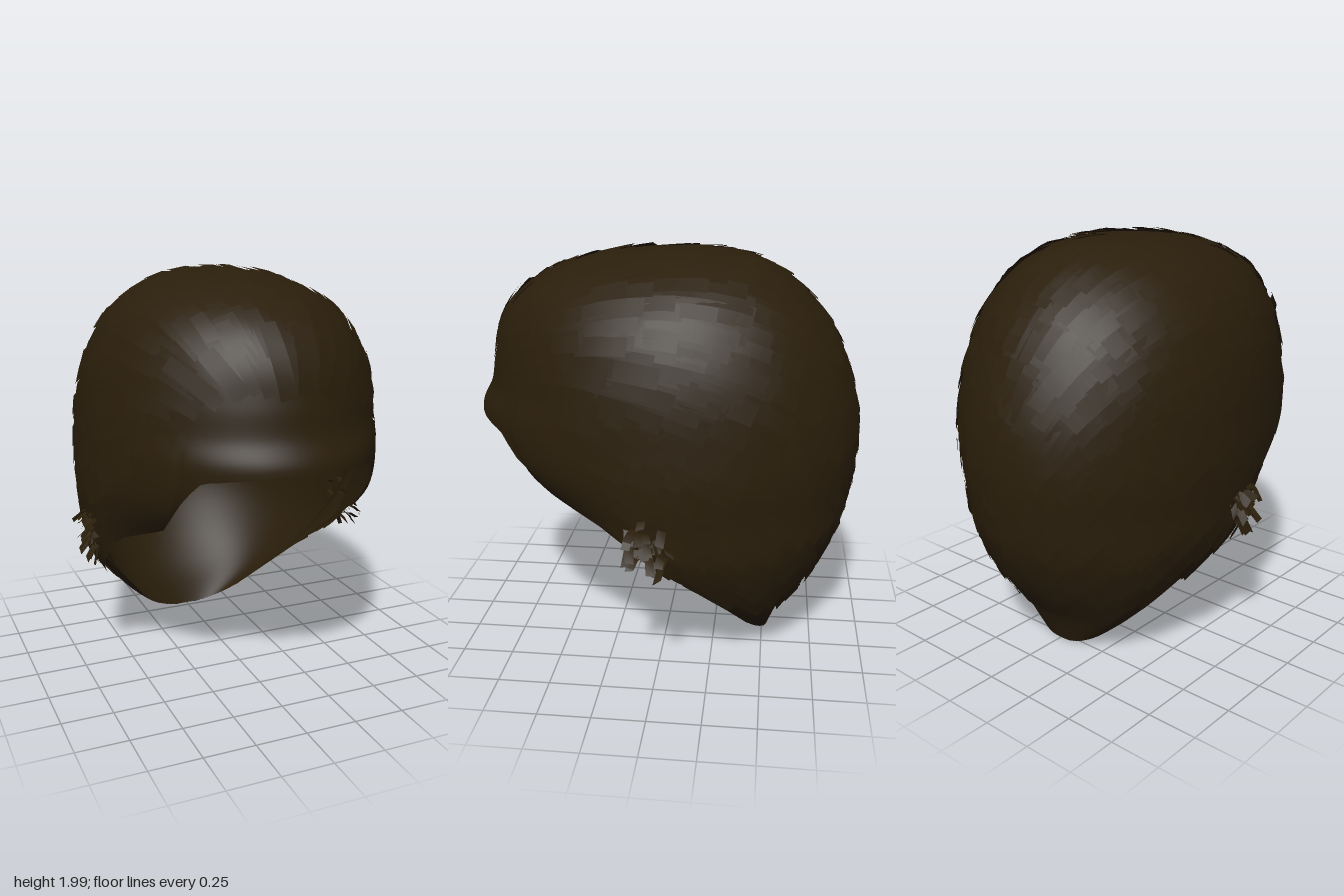
import * as THREE from 'three';
import { mergeGeometries } from 'three/addons/utils/BufferGeometryUtils.js';

// Level sections from crown to nape: [height, half width, widest z, front z, back z]
const SECTIONS = [
  [1.975, 0, -0.06, -0.06, -0.06], [1.95, 0.2, -0.04, 0.27, -0.33], [1.885, 0.38, -0.02, 0.52, -0.5],
  [1.78, 0.52, 0, 0.71, -0.64], [1.64, 0.61, 0, 0.82, -0.76], [1.48, 0.665, 0, 0.87, -0.84],
  [1.34, 0.69, 0, 0.895, -0.885], [1.2, 0.7, 0, 0.95, -0.915], [1.0, 0.705, 0, 0.88, -0.92],
  [0.8, 0.685, 0, 0.61, -0.895], [0.6, 0.645, -0.08, 0.42, -0.85], [0.4, 0.525, -0.25, 0.08, -0.75],
  [0.2, 0.36, -0.4, -0.2, -0.61], [0, 0.13, -0.48, -0.44, -0.53],
];
const LAST = SECTIONS.length - 1;
// Lower edge of the scalp and the start of the hair, as [z, y]
const RIM = [[-0.53, 0.01], [-0.35, 0.2], [-0.12, 0.4], [-0.05, 0.55], [0, 0.6], [0.27, 0.78], [0.5, 0.87],
  [0.6, 0.95], [0.68, 1.05], [0.77, 1.16], [0.95, 1.2]];
const HAIRLINE = [[-0.6, 0.26], [-0.45, 0.32], [-0.1, 0.52], [0, 0.64], [0.2, 0.77], [0.25, 1.0],
  [0.5, 1.2], [0.72, 1.42], [0.9, 1.5]];

const spline = (pick) => new THREE.CatmullRomCurve3(
  SECTIONS.map((s) => new THREE.Vector3(...pick(s))), false, 'catmullrom', 0.5);
const outline = spline((s) => [s[0], s[1], s[2]]);
const depth = spline((s) => [s[3], s[4], 0]);

function lookUp(table, z) {
  if (z <= table[0][0]) return table[0][1];
  for (let i = 1; i < table.length; i++) {
    const [z0, y0] = table[i - 1], [z1, y1] = table[i];
    if (z <= z1) return y0 + (y1 - y0) * (z - z0) / (z1 - z0);
  }
  return table[table.length - 1][1];
}

// Point on the head; (a, b) are plane coordinates unrolled from the crown
function headPoint(a, b) {
  const t = Math.min(Math.hypot(a, b), LAST), angle = Math.atan2(a, b);
  const o = outline.getPoint(t / LAST), d = depth.getPoint(t / LAST);
  const c = Math.cos(angle), reach = c > 0 ? d.x - o.z : o.z - d.y;
  return new THREE.Vector3(o.y * Math.sin(angle), o.x, o.z + reach * c);
}

function headFrame(a, b) {
  const e = 0.02;
  const pa = headPoint(a + e, b).sub(headPoint(a - e, b)).divideScalar(2 * e);
  const pb = headPoint(a, b + e).sub(headPoint(a, b - e)).divideScalar(2 * e);
  return { p: headPoint(a, b), pa, pb, n: pb.clone().cross(pa).normalize() };
}

function makeGeometry(points, index) {
  const g = new THREE.BufferGeometry();
  g.setAttribute('position', new THREE.Float32BufferAttribute(points.flatMap((p) => p.toArray()), 3));
  g.setIndex(index);
  g.computeVertexNormals();
  return g;
}

// Smooth open shell running from the crown down to the rim
function scalpGeometry() {
  const around = 120, down = 44, points = [headPoint(0, 0)], index = [];
  for (let i = 0; i < around; i++) {
    const angle = i / around * Math.PI * 2, s = Math.sin(angle), c = Math.cos(angle);
    let t = 4;
    for (; t < LAST; t += 0.02) {
      const p = headPoint(t * s, t * c);
      if (p.y <= lookUp(RIM, p.z)) break;
    }
    t = Math.min(t, LAST);
    for (let j = 1; j <= down; j++) points.push(headPoint(t * s * j / down, t * c * j / down));
  }
  const at = (i, j) => 1 + (i % around) * down + j - 1;
  for (let i = 0; i < around; i++) {
    index.push(0, at(i, 1), at(i + 1, 1));
    for (let j = 1; j < down; j++) {
      index.push(at(i, j), at(i, j + 1), at(i + 1, j + 1), at(i, j), at(i + 1, j + 1), at(i + 1, j));
    }
  }
  return makeGeometry(points, index);
}

// Flat ribbon through a list of [left, right] pairs
function ribbon(pairs) {
  const index = [];
  for (let i = 0; i < pairs.length - 1; i++) {
    const k = i * 2;
    index.push(k, k + 3, k + 1, k, k + 2, k + 3);
  }
  return makeGeometry(pairs.flat(), index);
}

// Hair combed up from the forehead, back over the crown and down towards the nape
const NAPE = new THREE.Vector3(0, -0.3, -0.6);
function lock(a, b, width, length, lift) {
  const steps = 6, pairs = [];
  for (let i = 0; i <= steps; i++) {
    const { p, pa, pb, n } = headFrame(a, b);
    if (p.y < lookUp(HAIRLINE, p.z) - 0.05 || Math.hypot(a, b) > LAST - 0.6) break;
    const d = new THREE.Vector3(p.x * 0.2, p.y - 1.1, p.z - 1).normalize()
      .add(NAPE.clone().sub(p).normalize().multiplyScalar(0.7));
    d.addScaledVector(n, -d.dot(n)).normalize();
    const side = d.clone().cross(n).multiplyScalar(width / 2);
    const centre = p.addScaledVector(n, 0.006 + lift * i / steps);
    pairs.push([centre.clone().add(side), centre.clone().sub(side)]);
    // Walk one step along the combing direction
    const E = pa.dot(pa), F = pa.dot(pb), G = pb.dot(pb), u = pa.dot(d), v = pb.dot(d);
    const h = length / steps / (E * G - F * F);
    a += (G * u - F * v) * h;
    b += (E * v - F * u) * h;
  }
  return pairs.length > 2 ? ribbon(pairs) : null;
}

export function createModel() {
  const hairBrown = new THREE.MeshStandardMaterial({ color: 0x2a1e0b, side: THREE.DoubleSide });
  hairBrown.name = 'dark brown';
  const group = new THREE.Group();
  group.name = 'hair';
  let seed = 7;
  const rand = () => (seed = (seed * 16807) % 2147483647) / 2147483647;
  const add = (name, geometry) => {
    const mesh = new THREE.Mesh(geometry, hairBrown);
    mesh.name = name;
    group.add(mesh);
  };

  add('scalp', scalpGeometry());

  // Overlapping locks in staggered rows from crown to nape
  const locks = [];
  for (let t = 0.2; t < LAST - 0.8; t += 0.45) {
    const o = outline.getPoint(t / LAST), d = depth.getPoint(t / LAST);
    const count = Math.ceil(Math.PI * (o.y + (d.x - d.y) / 2) / 0.085);
    for (let i = 0; i < count; i++) {
      const angle = (i + rand()) / count * Math.PI * 2, r = t + (rand() - 0.5) * 0.4;
      const a = r * Math.sin(angle), b = r * Math.cos(angle), p = headPoint(a, b);
      if (p.y < lookUp(HAIRLINE, p.z)) continue;
      const g = lock(a, b, 0.065 + rand() * 0.04, 0.24 + rand() * 0.16, 0.012 + rand() * 0.016);
      if (g) locks.push(g);
    }
  }
  add('locks', mergeGeometries(locks));

  // Small ragged tufts in front of each ear
  for (const side of [1, -1]) {
    const tufts = [];
    for (let i = 0; i < 24; i++) {
      const y = 0.66 + rand() * 0.2, z = 0.14 - rand() * 0.2;
      const root = new THREE.Vector3(side * 0.66, y, z);
      const tip = new THREE.Vector3(side * (0.69 + rand() * 0.09), y - 0.02 - rand() * 0.08, z + (rand() - 0.5) * 0.1);
      const half = new THREE.Vector3(0, (rand() - 0.5) * 0.03, 0.02);
      tufts.push(ribbon([root, root.clone().lerp(tip, 0.6).add(new THREE.Vector3(0, 0.015, 0)), tip]
        .map((p) => [p.clone().add(half), p.clone().sub(half)])));
    }
    add(side > 0 ? 'leftEarTuft' : 'rightEarTuft', mergeGeometries(tufts));
  }
  return group;
}
